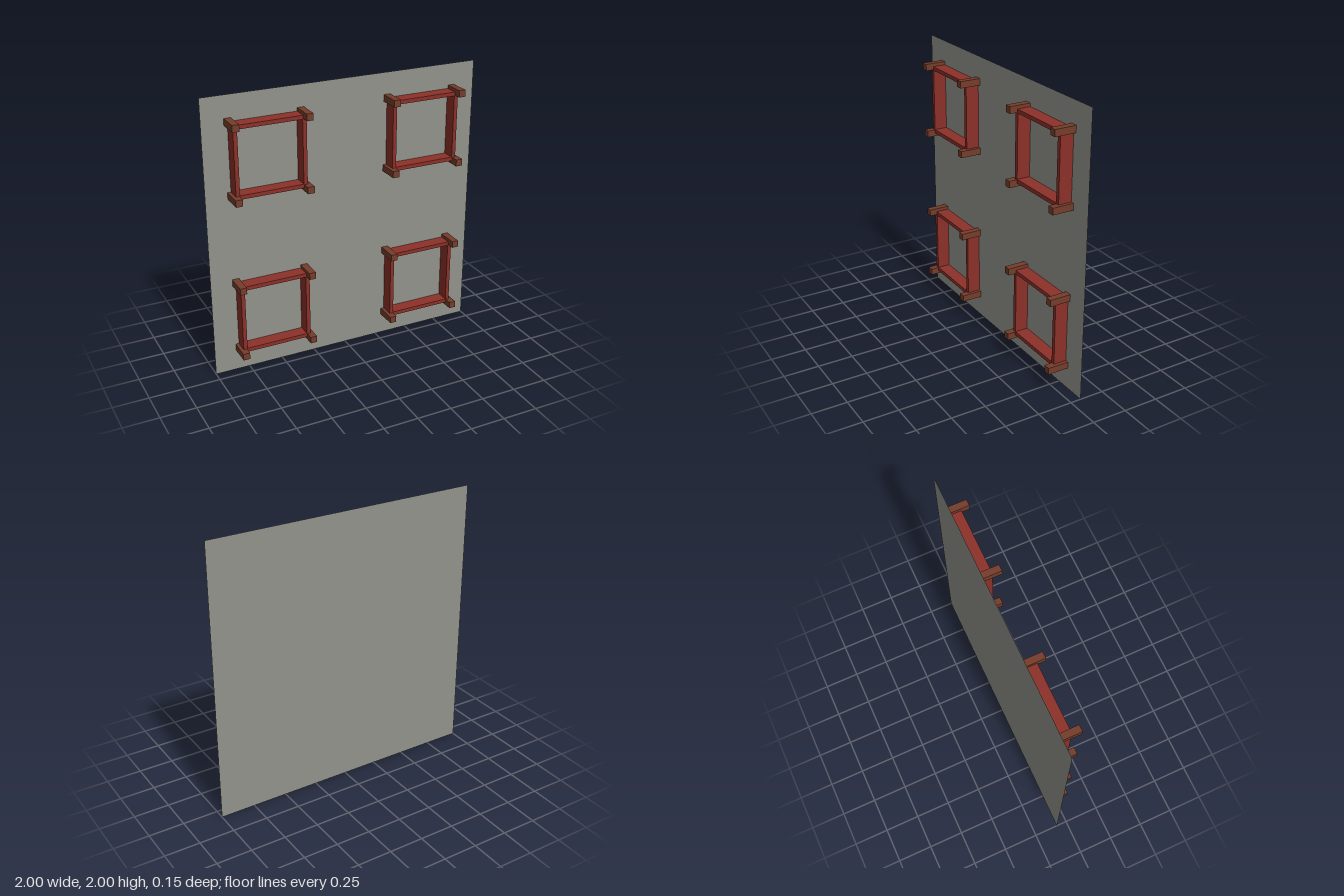
import * as THREE from 'three';

const BACK = -0.076; // plane of the wall panel

const paint = (color) => new THREE.MeshStandardMaterial({ color });
const red = paint(0x8c3028);
const brown = paint(0x753d2b);
const grey = paint(0x92938b);
grey.side = THREE.DoubleSide;

// Box standing out from the wall panel, centred on (x, y)
function block(name, w, h, depth, x, y, material) {
  const mesh = new THREE.Mesh(new THREE.BoxGeometry(w, h, depth), material);
  mesh.name = name;
  mesh.position.set(x, y, BACK + 0.0005 + depth / 2);
  return mesh;
}

// Square window frame: four thin boards and four projecting corner posts
function windowFrame() {
  const frame = new THREE.Group();
  frame.name = 'windowFrame';
  const offset = 0.238, thick = 0.028, depth = 0.095;
  const long = 2 * offset + thick, short = 2 * offset - thick;
  for (const s of [-1, 1]) {
    frame.add(block(s > 0 ? 'topBoard' : 'bottomBoard', long, thick, depth, 0, s * offset, red));
    frame.add(block(s > 0 ? 'leftBoard' : 'rightBoard', thick, short, depth, s * offset, 0, red));
    for (const t of [-1, 1]) {
      frame.add(block('cornerPost', 0.048, 0.048, 0.152, s * 0.252, t * 0.252, brown));
    }
  }
  return frame;
}

export function createModel() {
  const model = new THREE.Group();
  model.name = 'wallWithWindowFrames';

  // Thin wall sheet
  const wall = new THREE.Mesh(new THREE.PlaneGeometry(2, 2), grey);
  wall.name = 'wallPanel';
  wall.position.set(0, 1, BACK);
  model.add(wall);

  // Two by two grid of frames
  for (const x of [-0.57, 0.57]) {
    for (const y of [0.43, 1.57]) {
      const frame = windowFrame();
      frame.position.set(x, y, 0);
      model.add(frame);
    }
  }
  return model;
}
